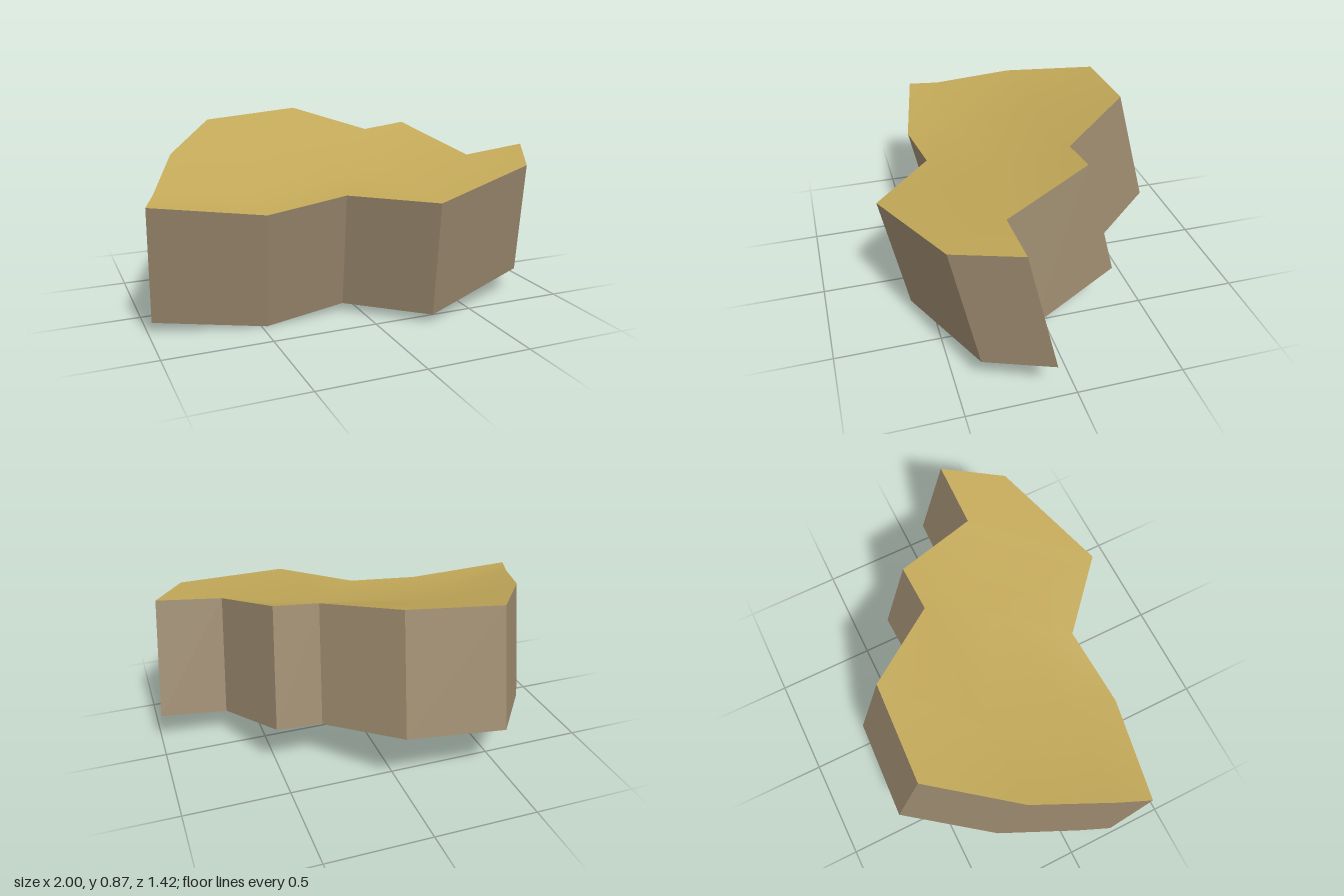
import * as THREE from 'three';

// Top surface: 13 outline points, counterclockwise from above, then 3 inner points
const TOP = [
  [-1, 0.63, 0.35], [-0.5, 0.57, 0.45], [-0.115, 0.613, 0.418], [0.208, 0.615, 0.71],
  [0.785, 0.695, 0.503], [0.945, 0.738, 0.215], [0.628, 0.705, 0.213], [0.472, 0.818, -0.205],
  [0.252, 0.795, -0.195], [-0.022, 0.875, -0.553], [-0.5, 0.835, -0.575], [-0.782, 0.742, -0.18],
  [-0.94, 0.645, 0.2],
  [-0.5, 0.59, 0.215], [0.15, 0.66, 0.1], [-0.35, 0.725, -0.2],
].map((p) => new THREE.Vector3(...p));
const OUTLINE = 13;

const FACES = [
  0, 1, 13, 1, 2, 13, 2, 14, 13, 2, 3, 14, 4, 5, 6, 3, 4, 6, 3, 6, 14, 6, 7, 14, 7, 8, 14,
  8, 15, 14, 8, 9, 15, 9, 10, 15, 10, 11, 15, 11, 13, 15, 11, 12, 13, 12, 0, 13, 13, 14, 15,
];

// The underside is the top shifted along the tilted thickness, slightly wider
const BOTTOM = TOP.map((p) => new THREE.Vector3(
  0.033 + p.x * 1.018, p.y - 0.566, -0.128 + p.z * 1.02));

function surface(points, index) {
  const g = new THREE.BufferGeometry().setFromPoints(points);
  g.setIndex(index);
  g.computeVertexNormals();
  return g;
}

// One flat quad for each outline edge
function wall() {
  const points = [];
  for (let i = 0; i < OUTLINE; i++) {
    const j = (i + 1) % OUTLINE;
    points.push(BOTTOM[i], BOTTOM[j], TOP[j], BOTTOM[i], TOP[j], TOP[i]);
  }
  const g = new THREE.BufferGeometry().setFromPoints(points);
  g.computeVertexNormals();
  return g;
}

export function createModel() {
  const group = new THREE.Group();
  group.name = 'slab';
  const add = (name, geometry, colorName, color) => {
    const material = new THREE.MeshStandardMaterial({ color });
    material.name = colorName;
    const mesh = new THREE.Mesh(geometry, material);
    mesh.name = name;
    group.add(mesh);
  };

  // Smooth, shallowly dished top and matching underside
  add('topSurface', surface(TOP, FACES), 'sand', 0xc2a858);
  add('underside', surface(BOTTOM, FACES.slice().reverse()), 'darkNavy', 0x0a2c48);
  // Faceted side wall
  add('sideWall', wall(), 'brownStone', 0x9a886d);
  return group;
}
